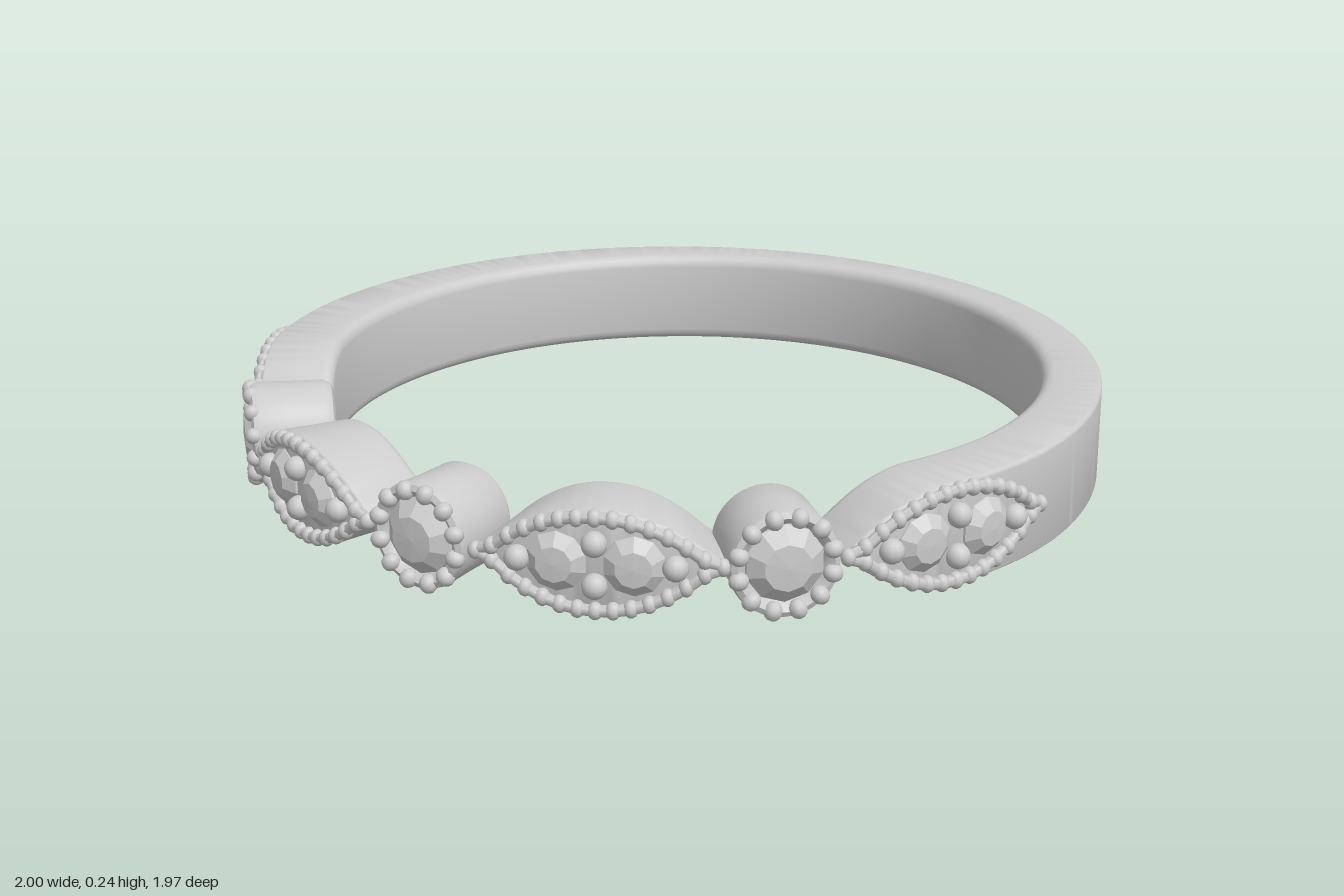
import * as THREE from 'three';
import { toCreasedNormals } from 'three/addons/utils/BufferGeometryUtils.js';

const DEG = Math.PI / 180, MID = 0.122, HALF = 0.115;
const SPAN = 15.6 * DEG; // half the angle covered by one marquise
const smooth = new THREE.MeshStandardMaterial({ color: 0xcccccc });
const faceted = new THREE.MeshStandardMaterial({ color: 0xcccccc, flatShading: true });

// Finger hole is set slightly back, so the ring is thickest at the front
const inner = a => -0.05 * Math.cos(a) + Math.sqrt(0.827 ** 2 - (0.05 * Math.sin(a)) ** 2);
const outer = a => 0.983 - 0.03 * Math.max(0, Math.cos(a)) ** 1.5;
const leaf = t => HALF * Math.max(0.03, 1 - Math.abs(t) ** 2.1);

// Sweep a rounded section around the ring; halfHeight(angle) shapes the outline
function sweep(a0, a1, steps, halfHeight) {
  const pos = [], idx = [], n = 20;
  for (let i = 0; i <= steps; i++) {
    const a = a0 + (a1 - a0) * i / steps, h = halfHeight(a), ri = inner(a), ro = outer(a);
    for (let k = 0; k < 4; k++) {
      const isOuter = k === 1 || k === 2;
      const c = Math.min(isOuter ? 0.01 : 0.028, h * 0.9);
      const cr = isOuter ? ro - c : ri + c, cy = k < 2 ? c - h : h - c;
      for (let s = 0; s < 5; s++) {
        const w = Math.PI + (k + s / 4) * Math.PI / 2;
        const r = cr + c * Math.cos(w);
        pos.push(r * Math.sin(a), MID + cy + c * Math.sin(w), r * Math.cos(a));
      }
    }
    if (i < steps) for (let j = 0; j < n; j++) {
      const p = i * n + j, q = i * n + (j + 1) % n;
      idx.push(p, p + n, q, q, p + n, q + n);
    }
  }
  const g = new THREE.BufferGeometry();
  g.setAttribute('position', new THREE.Float32BufferAttribute(pos, 3));
  g.setIndex(idx);
  return toCreasedNormals(g, 0.6);
}

const beadGeo = new THREE.SphereGeometry(1, 12, 8);
// Round cut stone, table facing +z
const stoneGeo = new THREE.LatheGeometry(
  [[1, -0.3], [1, 0], [0.6, 0.34], [0, 0.38]].map(p => new THREE.Vector2(...p)), 10).rotateX(Math.PI / 2);
// Rounded cup for a single stone, opening towards +z
const cupProfile = [[0, 0], [0.085, 0], [0.102, 0.006], [0.111, 0.022], [0.112, 0.1],
  [0.115, 0.17], [0.112, 0.184], [0.1, 0.19], [0.086, 0.18], [0.08, 0.165], [0, 0.165]];
const cupGeo = toCreasedNormals(new THREE.LatheGeometry(
  cupProfile.map(p => new THREE.Vector2(...p)), 40).rotateX(Math.PI / 2), 0.7);

function add(parent, name, geo, mat = smooth) {
  const m = new THREE.Mesh(geo, mat);
  m.name = name;
  parent.add(m);
  return m;
}

// Put a part on the ring at an angle, height offset and radius
function place(m, a, y, r) {
  m.position.set(r * Math.sin(a), MID + y, r * Math.cos(a));
  m.rotation.y = a;
  return m;
}

function marquiseTop(center) {
  const g = new THREE.Group();
  g.name = 'marquiseSetting';
  const along = x => center + x / 0.97;
  // Beaded rim on a thin raised wire
  const edge = [];
  const count = 14;
  for (const side of [1, -1]) {
    for (let i = 0; i < count; i++) {
      const t = side * (1 - 2 * i / count);
      const a = center + t * SPAN * 0.97;
      const y = side * Math.max(0, leaf(t) - 0.016);
      const r = outer(a) + 0.004;
      edge.push(new THREE.Vector3(r * Math.sin(a), MID + y, r * Math.cos(a)));
      place(add(g, 'rimBead', beadGeo), a, y, r).scale.set(0.016, 0.019, 0.018);
    }
  }
  add(g, 'rimWire', new THREE.TubeGeometry(new THREE.CatmullRomCurve3(edge, true), 80, 0.013, 6, true));
  // Pair of stones with four holding beads
  for (const s of [-1, 1]) {
    const a = along(s * 0.08);
    place(add(g, 'smallStone', stoneGeo, faceted), a, 0, outer(a) + 0.002).scale.setScalar(0.064);
    const tip = along(s * 0.162);
    place(add(g, 'prongBead', beadGeo), tip, 0, outer(tip) + 0.008).scale.setScalar(0.027);
    place(add(g, 'prongBead', beadGeo), center, s * 0.045, outer(center) + 0.008).scale.setScalar(0.027);
  }
  return g;
}

function roundSetting(a) {
  const g = new THREE.Group();
  g.name = 'roundSetting';
  add(g, 'cup', cupGeo);
  const stone = add(g, 'roundStone', stoneGeo, faceted);
  stone.scale.setScalar(0.083);
  stone.position.z = 0.176;
  // Scalloped rim
  for (let i = 0; i < 12; i++) {
    const w = (i + 0.5) * Math.PI / 6;
    const b = add(g, 'rimBead', beadGeo);
    b.position.set(0.1 * Math.cos(w), 0.1 * Math.sin(w), 0.185);
    b.rotation.z = w;
    b.scale.set(0.021, 0.019, 0.02);
  }
  return place(g, a, 0, inner(a) - 0.002);
}

export function createModel() {
  const ring = new THREE.Group();
  ring.name = 'ring';
  const near = 23.5 * DEG, far = 68.8 * DEG, start = far - SPAN;
  // Plain band, tapering into a leaf point at both front ends
  add(ring, 'band', sweep(start, 2 * Math.PI - start, 280, a => {
    const d = Math.min(a, 2 * Math.PI - a) - far;
    return d < 0 ? leaf(d / SPAN) : HALF;
  }));
  ring.add(roundSetting(0));
  for (const s of [1, -1]) {
    add(ring, 'marquiseBody', sweep(s * near - SPAN, s * near + SPAN, 32, a => leaf((a - s * near) / SPAN)));
    ring.add(marquiseTop(s * near), marquiseTop(s * far), roundSetting(s * 46 * DEG));
  }
  return ring;
}
